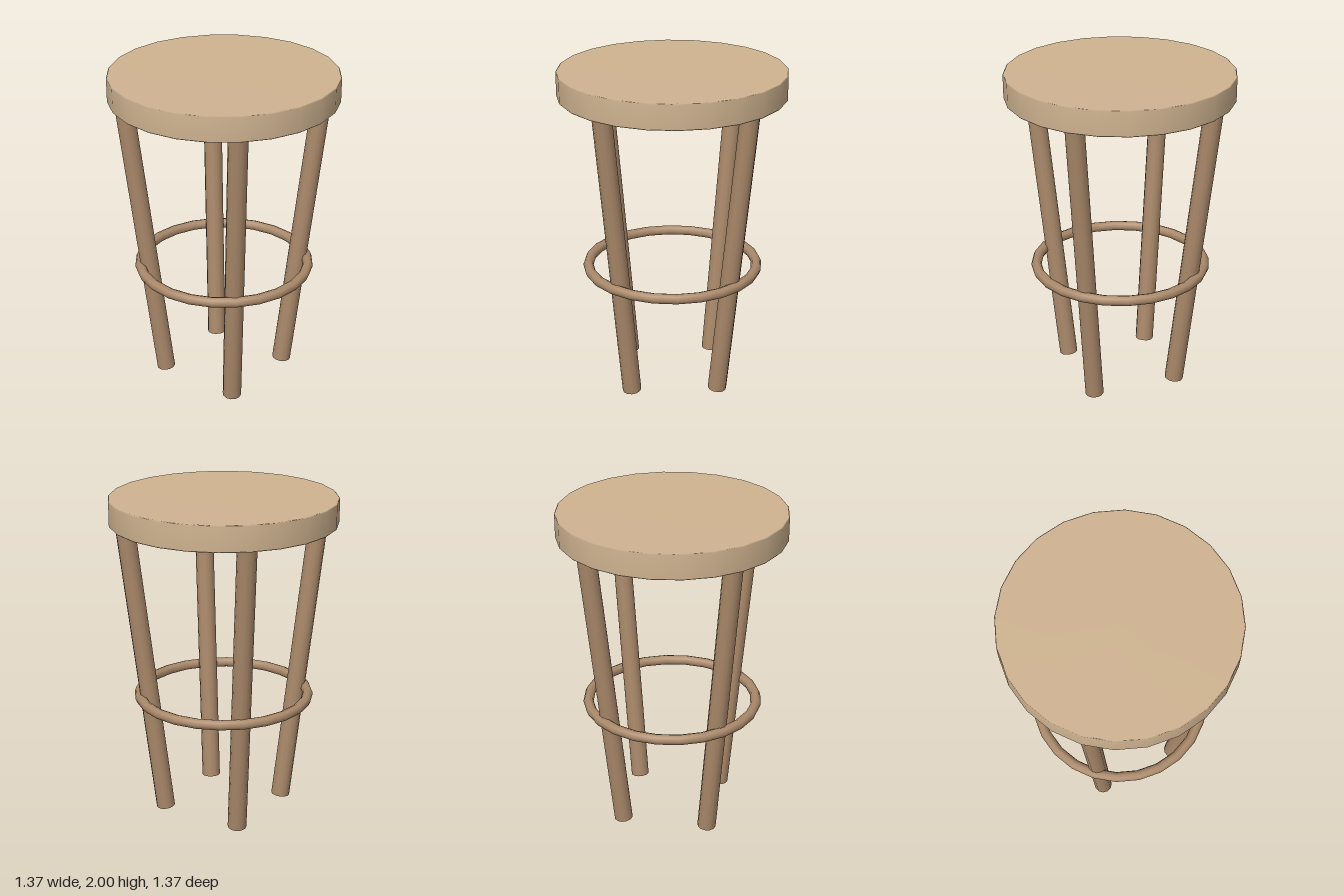
import * as THREE from 'three';

export function createModel() {
  const stool = new THREE.Group();
  stool.name = 'stool';

  const seatWood = new THREE.MeshStandardMaterial({ color: 0xd0b491 });
  seatWood.name = 'light seat wood';
  const legWood = new THREE.MeshStandardMaterial({ color: 0xab8a6b });
  legWood.name = 'brown leg wood';

  const add = (name, geometry, material) => {
    const mesh = new THREE.Mesh(geometry, material);
    mesh.name = name;
    stool.add(mesh);
    return mesh;
  };

  // Round seat with a finely eased rim
  const R = 0.687, bottom = 1.845, top = 2, ease = 0.006;
  const profile = [
    [0, bottom], [R - ease, bottom], [R, bottom + ease],
    [R, top - ease], [R - ease, top], [0, top],
  ].map(([x, y]) => new THREE.Vector2(x, y));
  add('seat', new THREE.LatheGeometry(profile, 24), seatWood);

  // Four straight legs, spreading outwards towards the seat
  const up = new THREE.Vector3(0, 1, 0);
  for (const [side, sx] of [['Left', 1], ['Right', -1]]) {
    for (const [end, sz] of [['front', 1], ['back', -1]]) {
      const foot = new THREE.Vector3(0.267 * sx, 0.007, 0.267 * sz);
      const head = new THREE.Vector3(0.422 * sx, 1.88, 0.422 * sz);
      const axis = head.clone().sub(foot);
      const leg = add(end + side + 'Leg', new THREE.CylinderGeometry(0.058, 0.058, axis.length(), 12), legWood);
      leg.position.copy(foot).add(head).multiplyScalar(0.5);
      leg.quaternion.setFromUnitVectors(up, axis.normalize());
    }
  }

  // Footrest ring around the legs
  const ring = add('footrestRing', new THREE.TorusGeometry(0.524, 0.032, 8, 24), legWood);
  ring.rotation.x = Math.PI / 2;
  ring.position.y = 0.752;

  return stool;
}
